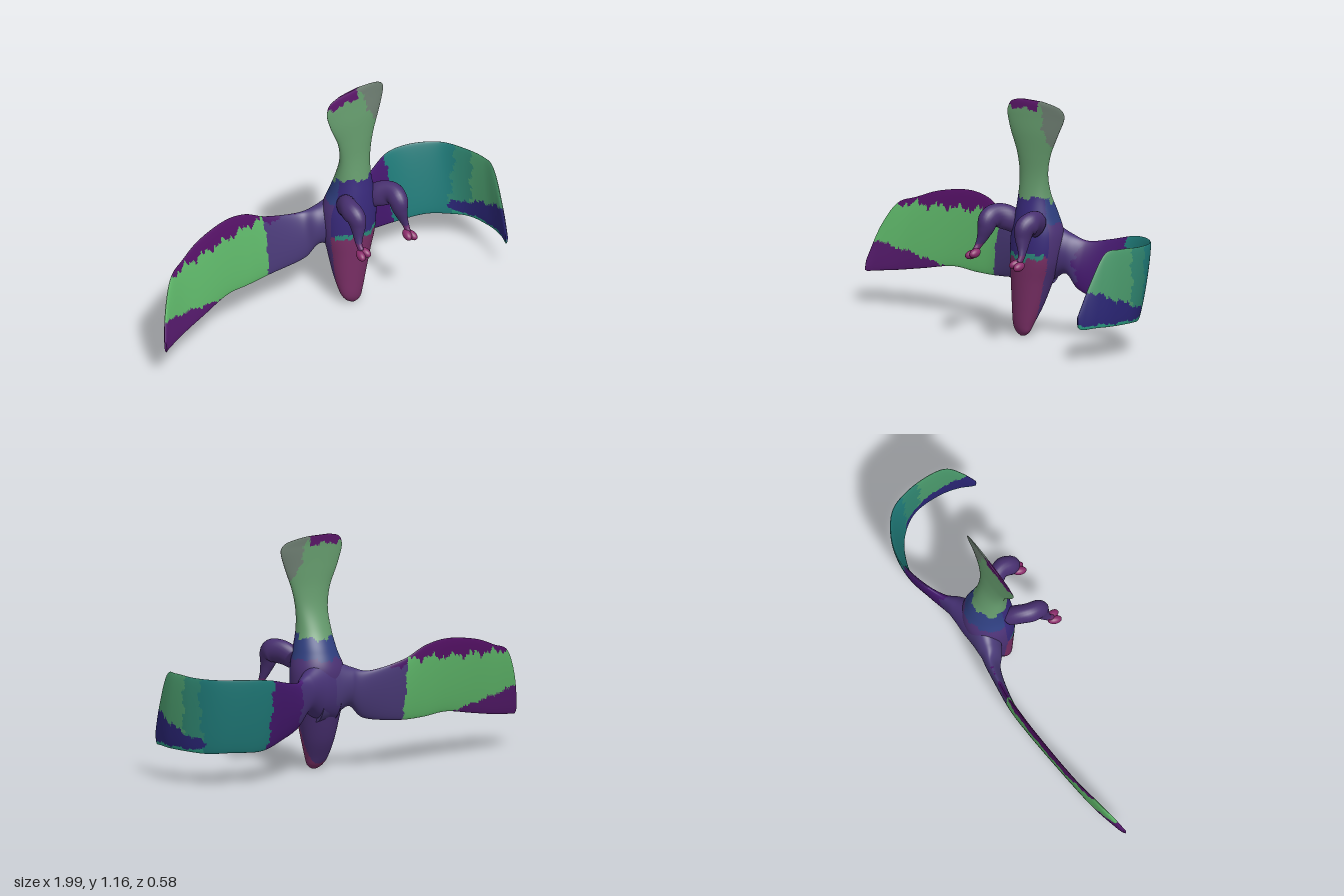
import * as THREE from 'three';

const V = (x, y, z) => new THREE.Vector3(x, y, z);

// Smoothly interpolate rows of section values at t in 0..1
function sample(rows, t) {
  const n = rows.length - 1, f = Math.min(t * n, n - 1e-9), i = Math.floor(f), u = f - i;
  const at = k => rows[Math.max(0, Math.min(n, k))];
  return rows[i].map((b, k) => {
    const a = at(i - 1)[k], c = at(i + 1)[k], d = at(i + 2)[k];
    return b + 0.5 * u * (c - a + u * (2 * a - 5 * b + 4 * c - d + u * (3 * (b - c) + d - a)));
  });
}

// Skin closed rings of points, cap both ends, and split the faces into one mesh per colour
function loft(name, rings, paint) {
  const m = rings[0].length, n = rings.length, pts = rings.flat(), tris = [];
  for (let i = 0; i < n - 1; i++) for (let j = 0; j < m; j++) {
    const a = i * m + j, b = i * m + (j + 1) % m;
    tris.push([a, b, a + m], [b, b + m, a + m]);
  }
  for (const [ring, end] of [[0, 0], [n - 1, 1]]) {
    const c = V(0, 0, 0);
    rings[ring].forEach(p => c.addScaledVector(p, 1 / m));
    pts.push(c);
    for (let j = 0; j < m; j++) {
      const a = ring * m + j, b = ring * m + (j + 1) % m;
      tris.push(end ? [a, b, pts.length - 1] : [b, a, pts.length - 1]);
    }
  }
  // Turn every face outwards
  let volume = 0;
  for (const [a, b, c] of tris) volume += pts[a].dot(pts[b].clone().cross(pts[c]));
  if (volume < 0) tris.forEach(t => t.reverse());

  const whole = new THREE.BufferGeometry().setFromPoints(pts);
  whole.setIndex(tris.flat());
  whole.computeVertexNormals();
  const bands = new Map();
  for (const t of tris) {
    const mid = V(0, 0, 0);
    t.forEach(k => mid.addScaledVector(pts[k], 1 / 3));
    const color = paint(mid);
    if (!bands.has(color)) bands.set(color, []);
    bands.get(color).push(...t);
  }
  const group = new THREE.Group();
  group.name = name;
  for (const [color, index] of bands) {
    const g = new THREE.BufferGeometry();
    g.setAttribute('position', whole.attributes.position);
    g.setAttribute('normal', whole.attributes.normal);
    g.setIndex(index);
    const mesh = new THREE.Mesh(g, new THREE.MeshStandardMaterial({ color }));
    mesh.name = name + 'Band' + group.children.length;
    group.add(mesh);
  }
  return group;
}

// Ragged edge between plumage colours
const jag = s => 0.008 * Math.sin(s * 47) + 0.006 * Math.sin(s * 113 + 1) + 0.004 * Math.sin(s * 211);

// Body from beak (bottom) to fanned tail (top): y, xMin, xMax, zMin, zMax, twist
function body() {
  const rows = [
    [0, 0.175, 0.205, 0.025, 0.045, 0], [0.02, 0.145, 0.23, 0.005, 0.06, 0],
    [0.06, 0.122, 0.245, -0.02, 0.07, 0], [0.15, 0.105, 0.275, -0.07, 0.077, 0],
    [0.27, 0.09, 0.31, -0.115, 0.085, 0], [0.38, 0.075, 0.345, -0.145, 0.09, 0],
    [0.5, 0.08, 0.355, -0.16, 0.09, 0], [0.6, 0.115, 0.335, -0.13, 0.08, 0],
    [0.7, 0.133, 0.317, -0.085, 0.06, 0], [0.8, 0.138, 0.32, -0.05, 0.043, 0.04],
    [0.9, 0.118, 0.345, -0.033, 0.032, 0.08], [1.0, 0.072, 0.39, -0.026, 0.02, 0.11],
    [1.08, 0.045, 0.424, -0.023, 0.004, 0.13], [1.115, 0.047, 0.424, -0.022, -0.003, 0.13],
    [1.138, 0.06, 0.395, -0.022, -0.006, 0.13], [1.151, 0.085, 0.34, -0.021, -0.008, 0.13],
    [1.16, 0.13, 0.27, -0.019, -0.012, 0.13]];
  const rings = [];
  for (let i = 0; i <= 180; i++) {
    const [y, x0, x1, z0, z1, twist] = sample(rows, i / 180), ring = [];
    for (let j = 0; j < 72; j++) {
      const a = j / 72 * Math.PI * 2, dx = Math.cos(a) * (x1 - x0) / 2;
      ring.push(V((x0 + x1) / 2 + dx, y, (z0 + z1) / 2 + Math.sin(a) * (z1 - z0) / 2 - dx * twist));
    }
    rings.push(ring);
  }
  return loft('body', rings, p => {
    const e = jag(p.x);
    if (p.y > 1.115 + e && p.x < 0.25) return 0x5a1668;
    if (p.y > 0.95 && p.x > 0.26 + (1.16 - p.y) * 0.4 + jag(p.y)) return 0x6c7c70;
    if (p.y > 0.69 + e - (p.z < -0.03 ? 0.03 : 0)) return 0x649a6c;
    if (p.z > 0.02 && p.y > 0.385 + e && p.y < 0.41 + e) return 0x2c8a7c;
    if (p.z < 0) return p.y > 0.56 + e ? 0x2f3f80 : 0x4c3276;
    return p.y > 0.4 + e ? 0x38297a : 0x7a2f66;
  });
}

// Wing sections: upper edge xyz, lower edge xyz, half thickness
function wing(name, rows, paint) {
  const N = 190, M = 72, at = t => sample(rows, t), rings = [];
  const middle = s => V(s[0] + s[3], s[1] + s[4], s[2] + s[5]).multiplyScalar(0.5);
  for (let i = 0; i <= N; i++) {
    const t = i / N, s = at(t), mid = middle(s), ring = [];
    const half = V(s[0], s[1], s[2]).sub(mid);
    const run = middle(at(Math.min(1, t + 0.01))).sub(middle(at(Math.max(0, t - 0.01))));
    const out = half.clone().cross(run).normalize().multiplyScalar(s[6]);
    for (let j = 0; j < M; j++) {
      const a = j / M * Math.PI * 2;
      ring.push(mid.clone().addScaledVector(half, Math.cos(a)).addScaledVector(out, Math.sin(a)));
    }
    rings.push(ring);
  }
  return loft(name, rings, paint);
}

const leftWing = () => wing('leftWing', [
  [0.16, 0.56, -0.08, 0.16, 0.25, -0.07, 0.08], [0.26, 0.55, -0.105, 0.26, 0.27, -0.09, 0.078],
  [0.345, 0.505, -0.15, 0.34, 0.31, -0.115, 0.055], [0.42, 0.475, -0.19, 0.4, 0.24, -0.14, 0.028],
  [0.52, 0.49, -0.245, 0.5, 0.2, -0.175, 0.017],
  [0.65, 0.52, -0.288, 0.65, 0.16, -0.215, 0.013], [0.78, 0.53, -0.268, 0.8, 0.16, -0.185, 0.013],
  [0.9, 0.53, -0.195, 0.9, 0.155, -0.12, 0.013], [0.955, 0.53, -0.08, 0.96, 0.16, -0.03, 0.013],
  [0.975, 0.535, 0.05, 0.98, 0.16, 0.1, 0.012], [0.968, 0.52, 0.14, 0.97, 0.16, 0.2, 0.011],
  [0.955, 0.38, 0.22, 0.95, 0.155, 0.265, 0.009], [0.94, 0.22, 0.287, 0.94, 0.17, 0.285, 0.006]],
p => {
  if (p.x < 0.4 + jag(p.y)) return 0x473276;
  if (p.x < 0.62 + jag(p.y)) return 0x45186f;
  if (p.z < -0.12 + jag(p.y)) return 0x1f7a78;
  if (p.y < 0.175 + jag(p.z) * 0.5) return 0x2a9a80;
  if (p.y < 0.26 + p.z * 0.35 + jag(p.z)) return 0x2a2575;
  return p.z < -0.02 + jag(p.y) ? 0x2f8570 : 0x4a9a6c;
});

const rightWing = () => wing('rightWing', [
  [0.26, 0.56, -0.1, 0.26, 0.25, -0.085, 0.075], [0.16, 0.55, -0.09, 0.16, 0.27, -0.08, 0.075],
  [0.07, 0.51, -0.115, 0.07, 0.315, -0.085, 0.058],
  [-0.02, 0.49, -0.145, -0.01, 0.25, -0.1, 0.03], [-0.2, 0.53, -0.16, -0.2, 0.225, -0.115, 0.018],
  [-0.33, 0.59, -0.16, -0.35, 0.225, -0.1, 0.014], [-0.47, 0.61, -0.145, -0.5, 0.235, -0.075, 0.013],
  [-0.65, 0.585, -0.11, -0.68, 0.205, -0.03, 0.013], [-0.78, 0.54, -0.07, -0.83, 0.18, 0.01, 0.012],
  [-0.88, 0.5, -0.03, -0.95, 0.165, 0.055, 0.011], [-0.95, 0.38, 0.02, -0.985, 0.16, 0.072, 0.009],
  [-0.995, 0.22, 0.07, -0.995, 0.165, 0.08, 0.006]],
p => {
  if (p.x > -0.22 + jag(p.y) * 0.5) return p.x < -0.03 && p.y > 0.5 + jag(p.x) ? 0x4a1268 : 0x4a3a78;
  if (p.y > 0.525 + (p.x + 0.4) * 0.05 + jag(p.x) * 1.6) return 0x551166;
  if (p.y < 0.235 - (p.x + 0.55) * 0.19 + jag(p.x) * 0.6) return 0x551a6c;
  return 0x5fb86a;
});

// Plump thigh, thin shank and a small clenched foot
function leg(name, side, rootX, thighX, footX, dy, dz) {
  const rows = [
    [rootX, 0.55, 0.03, 0.055], [(rootX + thighX) / 2, 0.58, 0.08, 0.062], [thighX, 0.592, 0.13, 0.058],
    [thighX, 0.575, 0.175, 0.055], [thighX, 0.53, 0.193, 0.043], [(thighX + footX) / 2, 0.485, 0.208, 0.028],
    [footX, 0.45, 0.225, 0.018], [footX, 0.425, 0.245, 0.016]].map((r, i) => {
    const k = i / 7;
    return [r[0], r[1] + dy * k, r[2] + dz * k, r[3]];
  });
  const rings = [];
  for (let i = 0; i <= 40; i++) {
    const t = i / 40, [cx, cy, cz, r] = sample(rows, t), ring = [];
    const a = sample(rows, Math.max(0, t - 0.02)), b = sample(rows, Math.min(1, t + 0.02));
    const up = V(0, b[2] - a[2], a[1] - b[1]).normalize();
    for (let j = 0; j < 24; j++) {
      const q = j / 24 * Math.PI * 2;
      ring.push(V(cx + Math.cos(q) * r * 0.82, cy, cz).addScaledVector(up, Math.sin(q) * r));
    }
    rings.push(ring);
  }
  const group = loft(name, rings, p => p.y < 0.46 + dy ? 0x6a2a6c : 0x483070);
  const footMat = new THREE.MeshStandardMaterial({ color: 0x8a2a6a });
  for (const k of [-1, 1]) {
    const toe = new THREE.Mesh(new THREE.SphereGeometry(1, 20, 14), footMat);
    toe.name = 'toe';
    toe.scale.set(0.021, 0.022, 0.036);
    toe.position.set(footX + k * 0.013, 0.412 + dy - k * side * 0.005, 0.255 + dz);
    toe.rotation.set(0.25, k * 0.2, 0);
    group.add(toe);
  }
  return group;
}

export function createModel() {
  const model = new THREE.Group();
  model.name = 'bird';
  model.add(body(), leftWing(), rightWing());
  model.add(leg('rightLeg', -1, 0.14, 0.098, 0.08, 0, 0));
  model.add(leg('leftLeg', 1, 0.31, 0.368, 0.388, -0.02, -0.03));
  return model;
}
